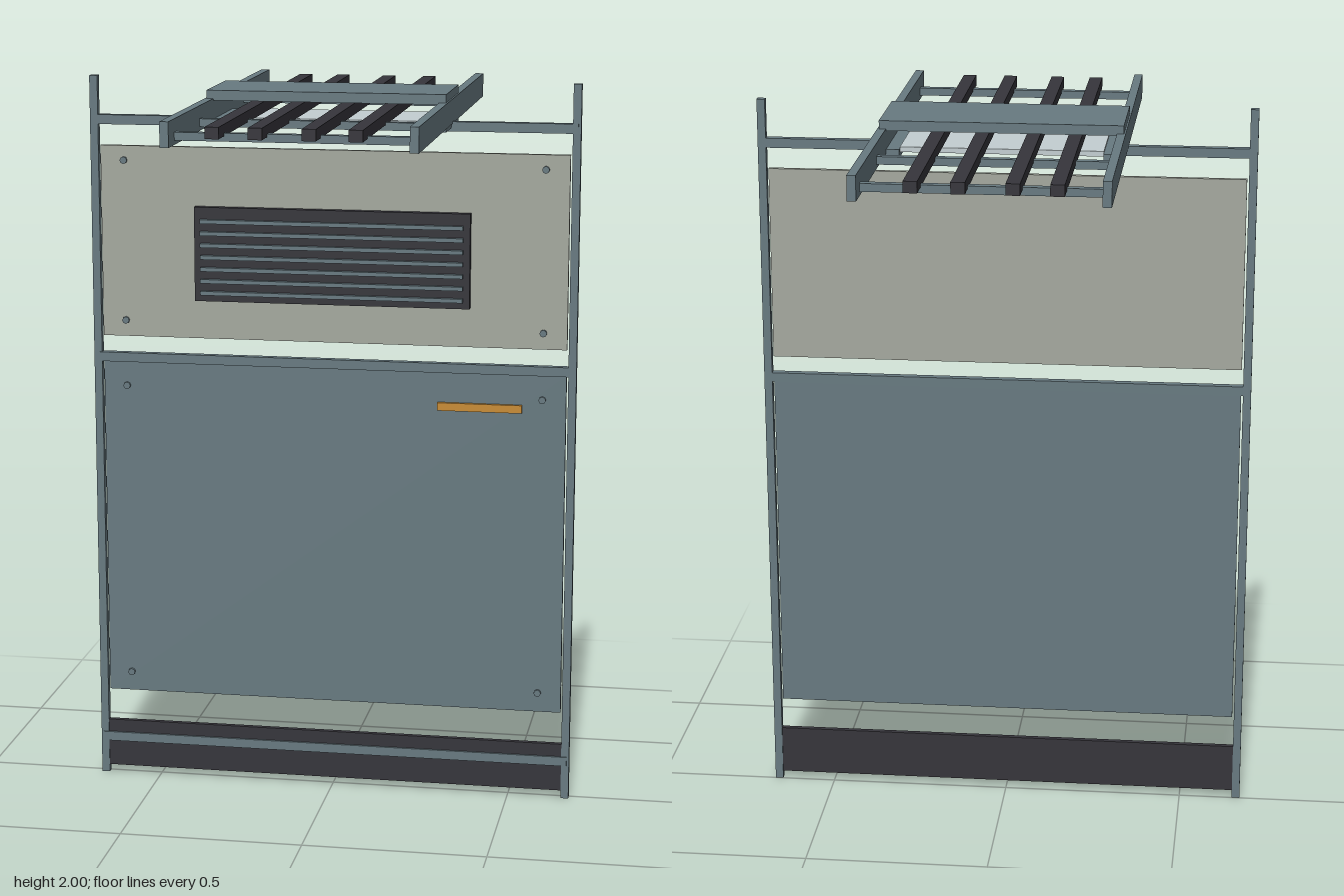
import * as THREE from 'three';

const material = (name, color) => {
  const m = new THREE.MeshStandardMaterial({ color });
  m.name = name;
  return m;
};

export function createModel() {
  const steel = material('blue grey steel', 0x687a81);
  const dark = material('charcoal', 0x36353b);
  const pale = material('pale stone', 0xa5a99f);
  const brass = material('brass', 0xc98c35);
  const light = material('light diffuser', 0xc4cfd2);

  const model = new THREE.Group();
  model.name = 'panelFrameWithCanopy';
  const group = (name) => {
    const g = new THREE.Group();
    g.name = name;
    model.add(g);
    return g;
  };
  // Box given by its extents along each axis
  const box = (parent, name, mat, [x0, x1], [y0, y1], [z0, z1]) => {
    const mesh = new THREE.Mesh(new THREE.BoxGeometry(x1 - x0, y1 - y0, z1 - z0), mat);
    mesh.position.set((x0 + x1) / 2, (y0 + y1) / 2, (z0 + z1) / 2);
    mesh.name = name;
    parent.add(mesh);
    return mesh;
  };
  const around = (c, size) => [c - size / 2, c + size / 2];

  // Upright frame: two posts and three rails
  const frame = group('frame');
  for (const s of [-1, 1]) box(frame, 'post', steel, around(s * 0.661, 0.022), [0, 2], [0, 0.02]);
  for (const y of [1.881, 1.22]) box(frame, 'rail', steel, [-0.665, 0.665], around(y, 0.026), [0, 0.022]);
  box(frame, 'lowerRail', steel, [-0.665, 0.665], around(0.109, 0.026), [0.008, 0.024]);

  // Flat panels
  const panels = group('panels');
  box(panels, 'upperPanel', pale, [-0.645, 0.645], [1.28, 1.81], [0.003, 0.016]);
  box(panels, 'lowerPanel', steel, [-0.645, 0.645], [0.25, 1.21], [0.003, 0.016]);
  box(panels, 'kickPlate', dark, [-0.655, 0.655], [0.022, 0.158], [0.003, 0.018]);

  // Bolts at the panel corners
  const bolts = group('bolts');
  for (const y of [1.77, 1.325, 1.14, 0.305])
    for (const s of [-1, 1]) {
      const bolt = new THREE.Mesh(new THREE.CylinderGeometry(0.01, 0.01, 0.01, 8), steel);
      bolt.rotation.x = Math.PI / 2;
      bolt.position.set(s * 0.58, y, 0.019);
      bolt.name = 'bolt';
      bolts.add(bolt);
    }

  // Pull handle
  box(model, 'handle', brass, [0.293, 0.525], [1.102, 1.124], [0.014, 0.026]);

  // Vent grille with horizontal slats
  const vent = group('vent');
  box(vent, 'ventBack', dark, [-0.38, 0.38], [1.388, 1.648], [0.014, 0.037]);
  for (let i = 0; i < 7; i++)
    box(vent, 'ventSlat', steel, [-0.362, 0.362], around(1.412 + i * 0.033, 0.011), [0.03, 0.05]);

  // Overhead ladder: side beams, rungs and long dark bars
  const canopy = group('canopy');
  for (const s of [-1, 1]) {
    box(canopy, 'sideBeam', steel, around(s * 0.316, 0.023), [1.889, 1.955], [-0.657, 0.657]);
    box(canopy, 'lowerLip', steel, around(s * 0.297, 0.054), [1.877, 1.9], [-0.127, 0.127]);
  }
  for (const z of [-0.588, -0.292, 0.285, 0.58])
    box(canopy, 'rung', steel, [-0.31, 0.31], [1.9, 1.921], around(z, 0.022));
  for (const x of [-0.194, -0.084, 0.052, 0.17])
    box(canopy, 'longBar', dark, around(x, 0.036), [1.914, 1.944], [-0.659, 0.659]);

  // Central cover plate with a diffuser below
  box(canopy, 'coverPlate', steel, [-0.323, 0.323], [1.95, 1.977], [-0.127, 0.123]);
  box(canopy, 'diffuser', light, [-0.27, 0.27], [1.89, 1.904], [-0.11, 0.11]);

  return model;
}
